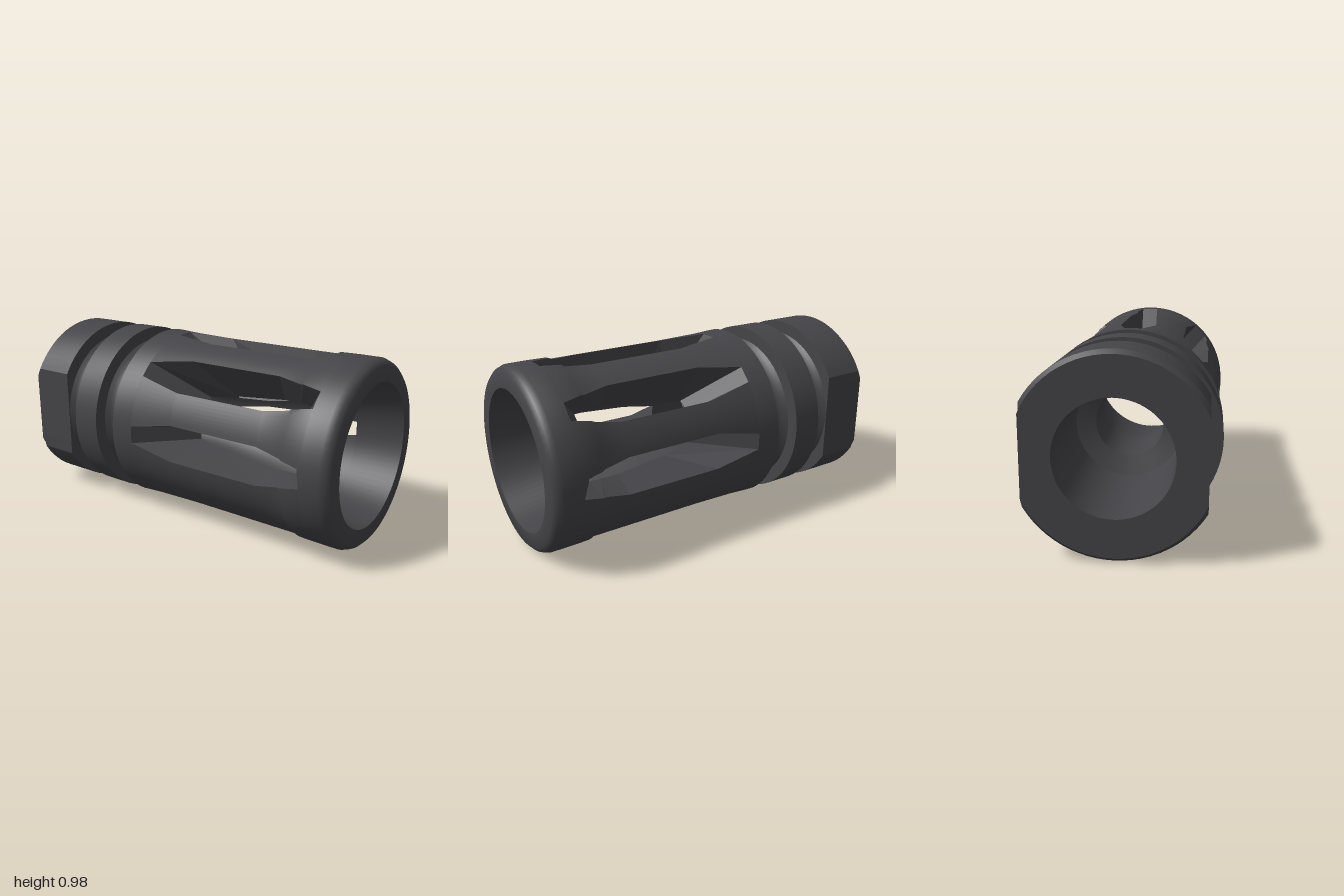
import * as THREE from 'three';
import { mergeGeometries, toCreasedNormals } from 'three/addons/utils/BufferGeometryUtils.js';

const AXIS_Y = 0.49;
const SECTOR = Math.PI / 4;
const SLOTS = 5; // sectors 0-4 (upper half) carry a slot, 5-7 are plain

// Slot outline stations: outer x, radius, half width, then inner x, radius, half width
const STATIONS = [
  [-0.19, 0.483, 0.047, 0.07, 0.2, 0.047],
  [0.07, 0.478, 0.1, 0.25, 0.234, 0.07],
  [0.6, 0.478, 0.1, 0.57, 0.296, 0.07],
  [0.73, 0.478, 0.073, 0.66, 0.313, 0.0587],
  [0.75, 0.488, 0.069, 0.68, 0.317, 0.055],
  [0.85, 0.49, 0.047, 0.75, 0.33, 0.047],
];
const OUTER = STATIONS.map((s) => s.slice(0, 3));
const INNER = STATIONS.map((s) => s.slice(3));

// Point on a cylinder about the x axis
const polar = (x, r, a) => [x, r * Math.sin(a), r * Math.cos(a)];

function buildGeometry(positions, index) {
  const g = new THREE.BufferGeometry();
  g.setAttribute('position', new THREE.Float32BufferAttribute(positions, 3));
  g.setIndex(index);
  return g;
}

// Turned part from [x, radius] points
function turned(profile) {
  const g = new THREE.LatheGeometry(profile.map(([x, r]) => new THREE.Vector2(r, x)), 72);
  return g.rotateZ(-Math.PI / 2);
}

// Curved skin between neighbouring slots, all the way round
function slottedSkin(stations, inward) {
  const n = 9;
  const strips = [];
  for (let k = 0; k < 8; k++) {
    const positions = [], index = [];
    const next = (k + 1) % 8;
    stations.forEach(([x, r, w], i) => {
      const edge = Math.asin(w / r);
      const lo = k * SECTOR + (k < SLOTS ? edge : 0);
      const hi = (k + 1) * SECTOR - (next < SLOTS ? edge : 0);
      for (let j = 0; j <= n; j++) positions.push(...polar(x, r, lo + ((hi - lo) * j) / n));
      if (i === 0) return;
      for (let j = 0; j < n; j++) {
        const a = (i - 1) * (n + 1) + j, b = a + n + 1;
        if (inward) index.push(a, b + 1, b, a, a + 1, b + 1);
        else index.push(a, b, b + 1, a, b + 1, a + 1);
      }
    });
    strips.push(buildGeometry(positions, index));
  }
  return toCreasedNormals(mergeGeometries(strips), 0.6);
}

// Side walls and end ramps of one slot, lofted from the outer to the inner outline
function slotWalls(angle) {
  const loop = (stations) => {
    const side = (sign) => stations.map(([x, r, w]) => polar(x, r, angle + sign * Math.asin(w / r)));
    return [...side(1), ...side(-1).reverse()];
  };
  const outer = loop(OUTER), inner = loop(INNER), n = outer.length;
  const index = [];
  for (let i = 0; i < n; i++) {
    const j = (i + 1) % n;
    index.push(i, j, n + j, i, n + j, n + i);
  }
  const g = buildGeometry([...outer, ...inner].flat(), index).toNonIndexed();
  g.computeVertexNormals();
  return g;
}

export function createModel() {
  const gunmetal = new THREE.MeshStandardMaterial({ color: 0x454549, side: THREE.DoubleSide });
  gunmetal.name = 'dark metal';

  const model = new THREE.Group();
  model.name = 'slottedSleeve';
  const body = new THREE.Group();
  body.name = 'body';
  body.position.y = AXIS_Y;
  model.add(body);
  const add = (name, geometry) => {
    const mesh = new THREE.Mesh(geometry, gunmetal);
    mesh.name = name;
    body.add(mesh);
  };

  // Rounded groove between two vertical walls
  const groove = (x0, x1) => {
    const points = [];
    for (let i = 0; i <= 8; i++) {
      const t = i / 8;
      points.push([x0 + (x1 - x0) * t, 0.42 - 0.035 * Math.sin(Math.PI * t)]);
    }
    return points;
  };

  // Rear half: bore, collar, two grooves and the ring between them
  const rear = turned([
    [0.07, 0.2], [-0.03, 0.18], [-0.35, 0.18], [-0.38, 0.28], [-1, 0.28],
    [-1, 0.47], [-0.975, 0.49], [-0.74, 0.49],
    ...groove(-0.74, -0.615),
    [-0.615, 0.49], [-0.45, 0.49],
    ...groove(-0.45, -0.32),
    [-0.32, 0.49], [-0.19, 0.483],
  ]);
  // Flats on the front and back of the collar
  const p = rear.attributes.position;
  for (let i = 0; i < p.count; i++) {
    if (p.getX(i) < -0.739) p.setZ(i, THREE.MathUtils.clamp(p.getZ(i), -0.425, 0.425));
  }
  add('groovedCollar', toCreasedNormals(rear, 0.5));

  // Open end with a rounded lip and flared mouth
  add('openRim', toCreasedNormals(turned([
    [0.85, 0.49], [0.95, 0.49], [0.98, 0.478], [1, 0.455], [1, 0.375], [0.75, 0.33],
  ]), 0.8));

  // Slotted middle
  add('outerSleeve', slottedSkin(OUTER, false));
  add('innerCone', slottedSkin(INNER, true));
  for (let k = 0; k < SLOTS; k++) add('slotWalls' + (k + 1), slotWalls(k * SECTOR));

  return model;
}
